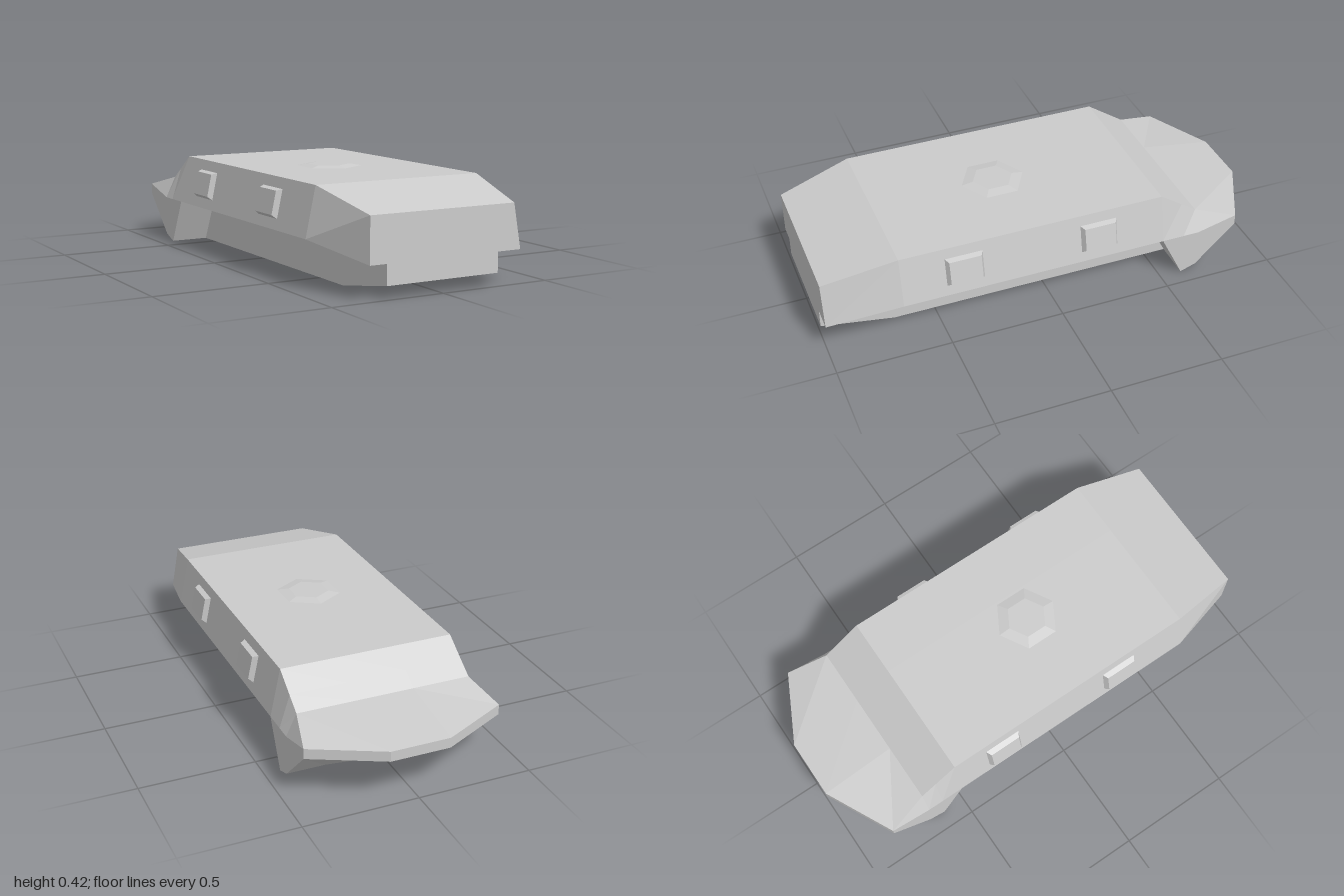
import * as THREE from 'three';

const material = new THREE.MeshStandardMaterial({ color: 0xcccccc, flatShading: true });

function addMesh(parent, name, geometry) {
  const mesh = new THREE.Mesh(geometry, material);
  mesh.name = name;
  parent.add(mesh);
  return mesh;
}

// One hull cross-section: half profile from roof to keel, then mirrored back up.
// Points: inner roof, roof edge, side edge, skirt edge, sponson root, keel edge, inner keel.
function section(z, roofX, roofY, sideX, sideY, skirtY, keelY, leftX = sideX) {
  const half = (sx) => [
    [0.13, roofY, z], [roofX, roofY, z], [sx, sideY, z], [sx, skirtY, z],
    [0.26, skirtY, z], [0.26, keelY, z], [0.13, keelY, z],
  ];
  return mirrorSection(half(leftX), half(sideX));
}

function mirrorSection(left, right) {
  return [...left, ...right.map(([x, y, z]) => [-x, y, z]).reverse()]
    .map((p) => new THREE.Vector3(...p));
}

function hullGeometry() {
  // Pointed tail rim, its middle further back than its corners
  const tail = [
    [0.13, 0.245, -1], [0.43, 0.245, -0.85], [0.43, 0.245, -0.85], [0.43, 0.2, -0.85],
    [0.26, 0.2, -0.935], [0.26, 0.2, -0.935], [0.13, 0.2, -1],
  ];
  const loops = [
    section(1, 0.335, 0.33, 0.335, 0.14, 0.14, 0.055, 0.37),
    section(0.68, 0.385, 0.41, 0.43, 0.2, 0.2, 0),
    section(-0.5, 0.385, 0.41, 0.43, 0.2, 0.2, 0),
    section(-0.6, 0.385, 0.342, 0.43, 0.2, 0, 0),
    section(-0.67, 0.385, 0.295, 0.43, 0.2, 0.025, 0.025),
    mirrorSection(tail, tail),
  ];
  const points = [];
  const triangle = (a, b, c) => {
    if (new THREE.Triangle(a, b, c).getArea() > 1e-7) points.push(a, b, c);
  };

  // Skin between neighbouring sections
  for (let i = 0; i < loops.length - 1; i++) {
    const p = loops[i], q = loops[i + 1], n = p.length;
    for (let j = 0; j < n; j++) {
      const k = (j + 1) % n;
      triangle(p[j], p[k], q[j]);
      triangle(p[k], q[k], q[j]);
    }
  }

  // End caps: a fan on each half and a middle panel
  const cap = (p, front) => {
    const face = (a, b, c) => (front ? triangle(p[a], p[c], p[b]) : triangle(p[a], p[b], p[c]));
    for (let j = 1; j < 6; j++) {
      face(0, j, j + 1);
      face(13, j + 6, j + 7);
    }
    face(0, 6, 7);
    face(0, 7, 13);
  };
  cap(loops[0], true);
  cap(loops[loops.length - 1], false);

  const geometry = new THREE.BufferGeometry().setFromPoints(points);
  geometry.computeVertexNormals();
  return geometry;
}

// Rectangular hatch whose outer (+x) face is smaller than its base
function hatchGeometry() {
  const geometry = new THREE.BoxGeometry(0.03, 0.132, 0.175);
  const pos = geometry.attributes.position;
  for (let i = 0; i < pos.count; i++) {
    if (pos.getX(i) > 0) {
      pos.setY(i, pos.getY(i) * 0.76);
      pos.setZ(i, pos.getZ(i) * 0.8);
    }
  }
  geometry.computeVertexNormals();
  return geometry;
}

export function createModel() {
  const model = new THREE.Group();
  model.name = 'armouredHull';
  addMesh(model, 'hull', hullGeometry());

  // Hexagonal roof hatch
  const roofHatch = addMesh(model, 'roofHatch', new THREE.CylinderGeometry(0.09, 0.148, 0.009, 6));
  roofHatch.position.set(-0.004, 0.4135, 0.13);

  // Side hatches leaning with the walls, staggered between the two sides
  const hatch = hatchGeometry();
  for (const [name, turn, sign, stations] of [
    ['leftHatch', 0, 1, [0.405, -0.2]],
    ['rightHatch', Math.PI, -1, [0.345, -0.265]],
  ]) {
    for (const z of stations) {
      const mount = new THREE.Group();
      mount.name = name;
      mount.position.set(sign * 0.414, 0.306, z);
      mount.rotation.y = turn;
      addMesh(mount, name + 'Panel', hatch).rotation.z = 0.21;
      model.add(mount);
    }
  }
  return model;
}
